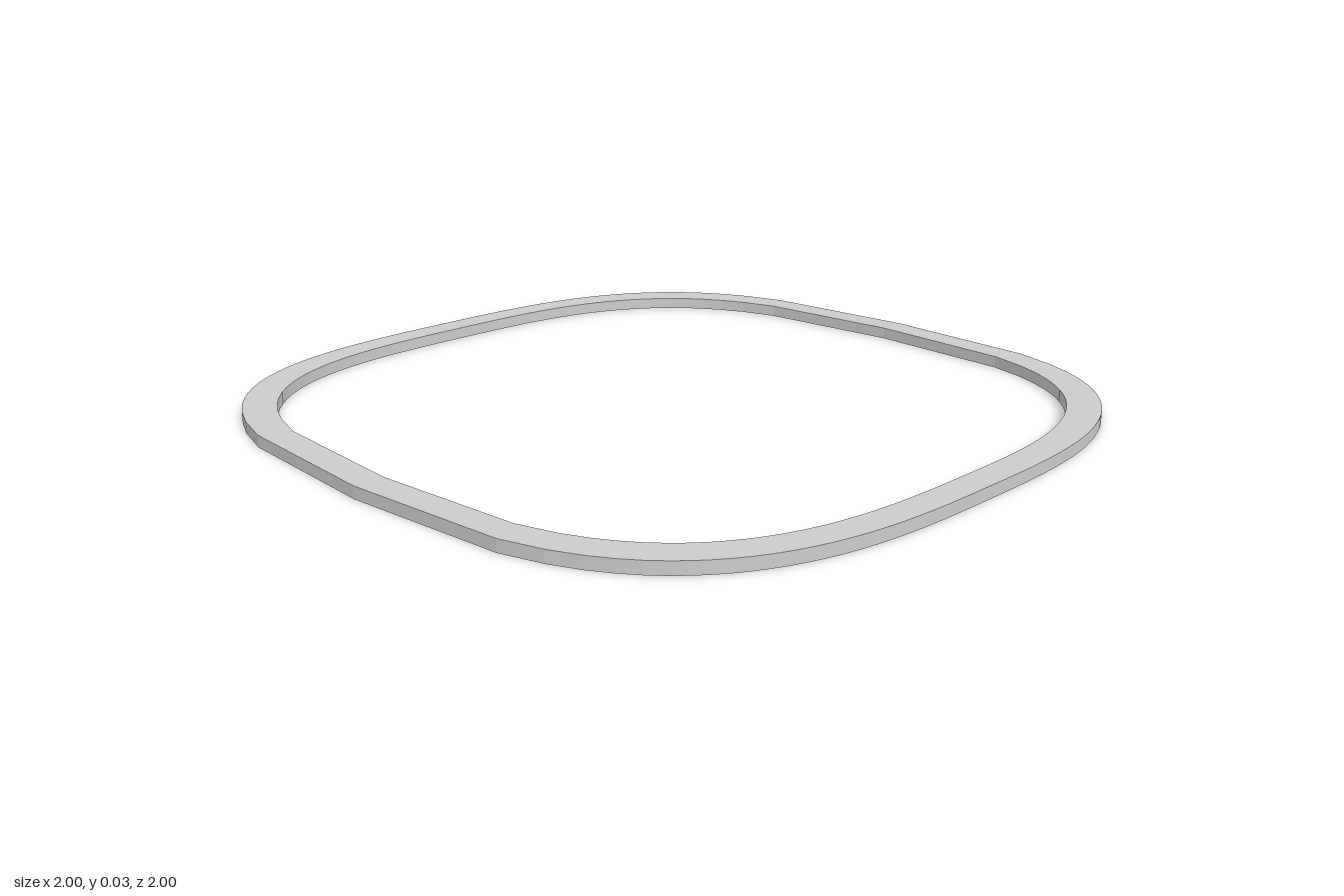
import * as THREE from 'three';

// Rounded-square outline |x|^3 + |z|^3 = r^3, stepped evenly along x
function outline(r, steps = 60) {
  const pts = [];
  for (const side of [1, -1]) {
    for (let i = 0; i < steps; i++) {
      const x = side * (1 - (2 * i) / steps);
      const z = side * Math.cbrt(Math.max(0, 1 - Math.abs(x) ** 3));
      pts.push(new THREE.Vector2(x * r, z * r));
    }
  }
  return pts;
}

export function createModel() {
  const group = new THREE.Group();
  group.name = 'frame';

  // Thin flat ring: outer outline with a matching hole
  const shape = new THREE.Shape(outline(1));
  shape.holes.push(new THREE.Path(outline(0.92)));
  const geometry = new THREE.ExtrudeGeometry(shape, { depth: 0.032, bevelEnabled: false });
  geometry.rotateX(-Math.PI / 2);

  const ring = new THREE.Mesh(geometry, new THREE.MeshStandardMaterial({ color: 0xcccccc }));
  ring.name = 'ring';
  group.add(ring);
  return group;
}
